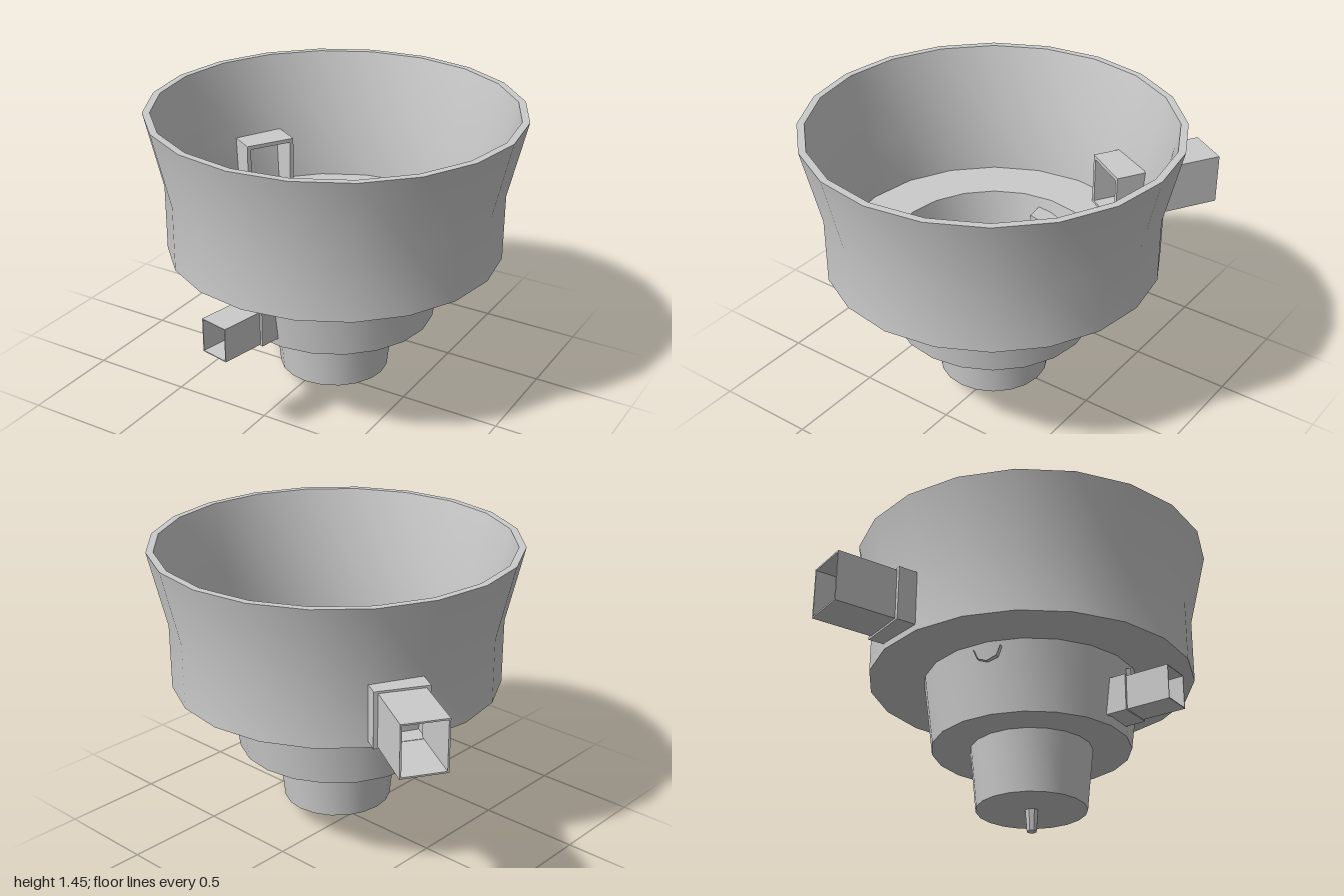
import * as THREE from 'three';
import { toCreasedNormals } from 'three/addons/utils/BufferGeometryUtils.js';

const SIDES = 20;

export function createModel() {
  const model = new THREE.Group();
  const mat = new THREE.MeshStandardMaterial({ color: 0xcccccc, side: THREE.DoubleSide });

  // Everything is arranged around one vertical axis, slightly off centre
  const hopper = new THREE.Group();
  hopper.name = 'hopper';
  hopper.position.x = 0.1;
  model.add(hopper);

  function add(name, geometry, parent = hopper) {
    const mesh = new THREE.Mesh(toCreasedNormals(geometry, 0.55), mat);
    mesh.name = name;
    parent.add(mesh);
    return mesh;
  }

  function turned(name, profile, sides = SIDES) {
    return add(name, new THREE.LatheGeometry(profile.map(([r, y]) => new THREE.Vector2(r, y)), sides));
  }

  // Three stepped cups, each opening into the next
  turned('upperBowl', [
    [0.535, 0.76], [0.81, 0.76], [0.81, 1.08], [0.895, 1.45],
    [0.86, 1.45], [0.775, 1.08], [0.75, 0.8], [0.5, 0.8],
  ]);
  turned('middleCup', [
    [0.3, 0.41], [0.49, 0.41], [0.535, 0.76], [0.5, 0.8], [0.46, 0.45], [0.27, 0.45],
  ]);
  turned('lowerCup', [
    [0, 0.105], [0.27, 0.105], [0.3, 0.41], [0.27, 0.45], [0.235, 0.14], [0, 0.14],
  ]);

  // Tapered centre spindle standing through the lower cup
  turned('spindle', [[0, 0], [0.025, 0], [0.07, 0.55], [0, 0.55]], 8);

  // Spiral ramp falling from the left of the middle cup and out through its floor
  const ramp = new THREE.BoxGeometry(1, 1, 1, 1, 1, 24);
  const p = ramp.attributes.position;
  for (let i = 0; i < p.count; i++) {
    const t = p.getZ(i) + 0.5;
    const a = THREE.MathUtils.degToRad(THREE.MathUtils.lerp(188, -22, t));
    const r = THREE.MathUtils.lerp(0.45, 0.365, t) + p.getX(i) * 0.11;
    const y = THREE.MathUtils.lerp(0.73, 0.38, t) + p.getY(i) * 0.035;
    p.setXYZ(i, r * Math.cos(a), y, -r * Math.sin(a));
  }
  add('spiralRamp', ramp);

  // Four half-round gutters set into the middle cup wall
  for (let i = 0; i < 4; i++) {
    const arm = new THREE.Group();
    arm.name = 'gutterMount';
    arm.rotation.y = i * Math.PI / 2;
    hopper.add(arm);
    const gutter = new THREE.CylinderGeometry(0.07, 0.07, 0.135, 4, 1, true, -Math.PI / 2, Math.PI);
    gutter.rotateX(Math.PI / 2);
    add('gutter', gutter, arm).position.set(0, 0.73, 0.475);
  }

  // Open rectangular tube running along z
  function tube(w, h, wall, z0, z1) {
    const rect = (C, a, b) => new C([[-a, -b], [a, -b], [a, b], [-a, b]].map(([x, y]) => new THREE.Vector2(x, y)));
    const shape = rect(THREE.Shape, w / 2, h / 2);
    shape.holes.push(rect(THREE.Path, w / 2 - wall, h / 2 - wall));
    return new THREE.ExtrudeGeometry(shape, { depth: z1 - z0, bevelEnabled: false }).translate(0, 0, z0);
  }

  // Side ducts: a collar through the wall and a narrower duct beyond it
  function duct(name, angle, y, offset, w, h, wall, [inner, joint, end]) {
    const group = new THREE.Group();
    group.name = name;
    group.rotation.y = angle;
    group.position.y = y;
    hopper.add(group);
    add('collar', tube(w + wall * 2, h + wall, wall, inner, joint), group).position.x = offset;
    add('duct', tube(w, h, wall * 0.4, joint - 0.02, end), group).position.x = offset;
  }
  duct('upperDuct', Math.atan2(-0.853, -0.522), 0.93, 0.05, 0.22, 0.255, 0.02, [0.615, 0.885, 1.192]);
  duct('lowerDuct', -0.21, 0.545, 0, 0.15, 0.17, 0.012, [0.41, 0.59, 0.81]);

  return model;
}
